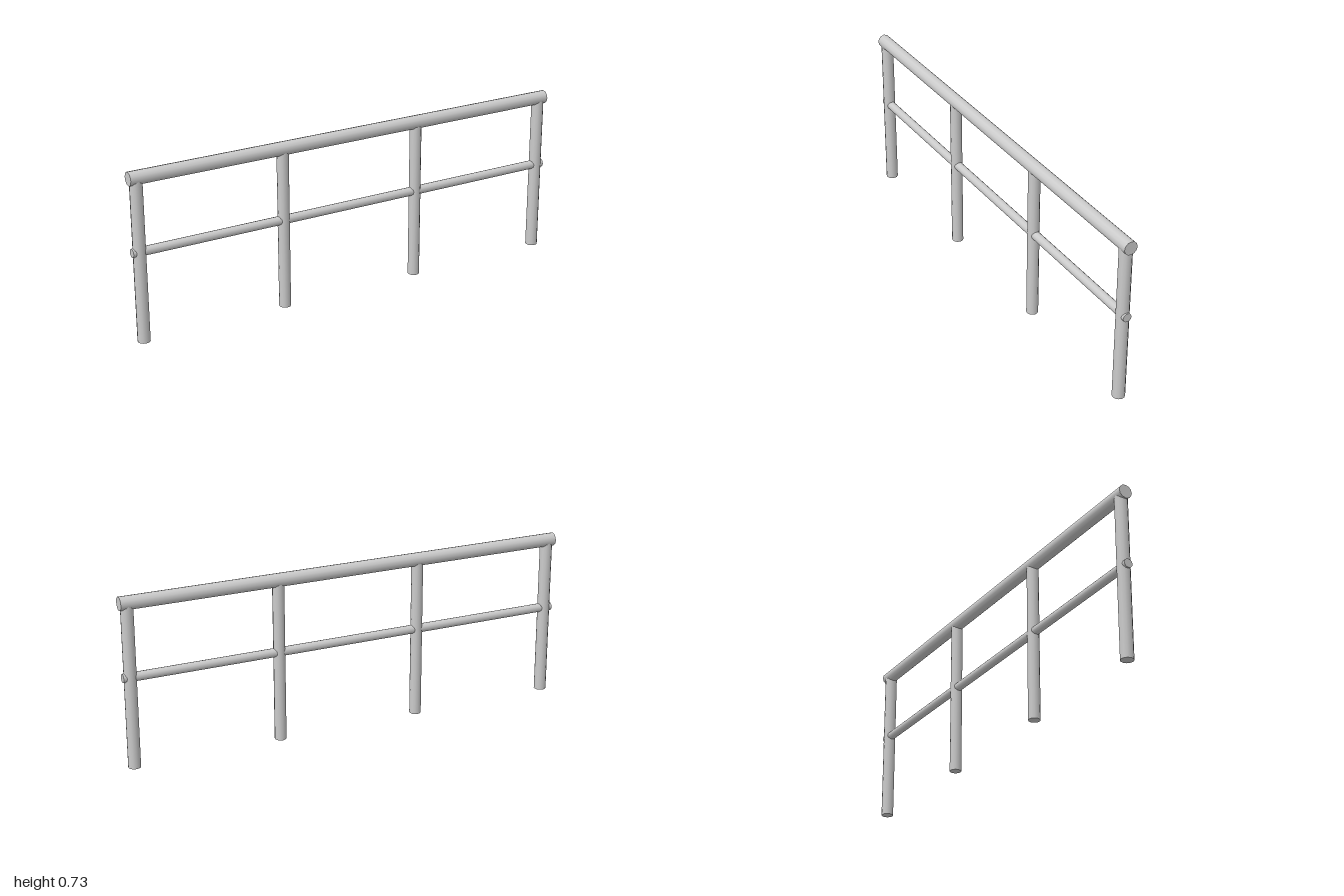
import * as THREE from 'three';

const SIDES = 12;
const LENGTH = 2;

export function createModel() {
  const group = new THREE.Group();
  const material = new THREE.MeshStandardMaterial({ color: 0xcccccc });

  // A round bar; horizontal bars lie along x
  function addBar(name, radius, length, x, y, horizontal) {
    const geometry = new THREE.CylinderGeometry(radius, radius, length, SIDES);
    if (horizontal) geometry.rotateZ(Math.PI / 2);
    const mesh = new THREE.Mesh(geometry, material);
    mesh.name = name;
    mesh.position.set(x, y, 0);
    group.add(mesh);
  }

  // Handrail and thinner middle rail
  addBar('topRail', 0.029, LENGTH, 0, 0.699, true);
  addBar('middleRail', 0.019, LENGTH, 0, 0.388, true);

  // Evenly spaced posts, the end pair slightly thicker
  const postHeight = 0.709;
  for (const side of [-1, 1]) {
    const label = side > 0 ? 'left' : 'right';
    addBar(label + 'EndPost', 0.0265, postHeight, side * 0.968, postHeight / 2, false);
    addBar(label + 'InnerPost', 0.025, postHeight, side * 0.322, postHeight / 2, false);
  }

  return group;
}
